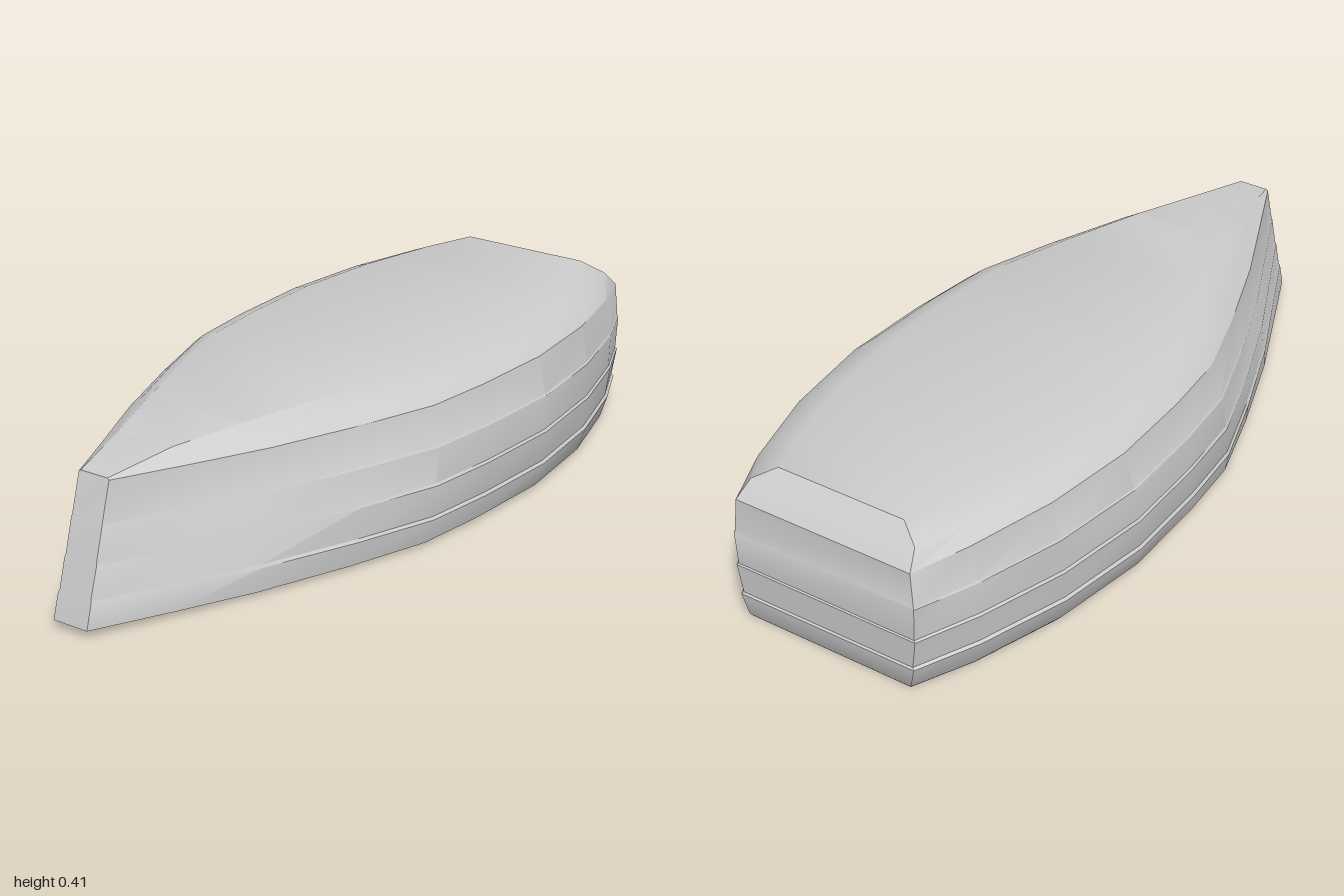
import * as THREE from 'three';
import { toCreasedNormals } from 'three/addons/utils/BufferGeometryUtils.js';

// Stations from bow to stern: position, fullness, pull towards the bow / stern height
const STATIONS = [
  [-1, 0, 1, 0], [-0.8, 0.24, 0.45, 0], [-0.6, 0.48, 0.15, 0], [-0.35, 0.73, 0, 0],
  [-0.13, 0.92, 0, 0], [0.07, 0.975, 0, 0], [0.33, 1, 0, 0], [0.6, 0.8, 0, 0.1],
  [0.84, 0.4, 0, 0.4], [1, 0, 0, 1],
];

// Plank edges from gunwale to keel; close pairs are the overlapping laps
const row = (mid, stern, bow, y, yStern, yBow, bowX, sternX = 1, power = 1) =>
  ({ mid, stern, bow, y, yStern, yBow, bowX, sternX, power });
const OUTER = [
  row(0.405, 0.235, 0.046, 0, 0, 0.004, -0.94, 0.99),
  row(0.418, 0.238, 0.05, 0.01, 0.005, 0.02, -1, 0.993),
  row(0.437, 0.253, 0.05, 0.071, 0.062, 0.083, -0.982),
  row(0.431, 0.248, 0.047, 0.078, 0.067, 0.09, -0.979, 0.996),
  row(0.436, 0.26, 0.048, 0.156, 0.145, 0.165, -0.957),
  row(0.431, 0.256, 0.046, 0.162, 0.149, 0.17, -0.955, 0.997),
  row(0.427, 0.26, 0.046, 0.25, 0.238, 0.256, -0.931),
  row(0.423, 0.258, 0.045, 0.254, 0.242, 0.26, -0.929, 0.998),
  row(0.4, 0.25, 0.045, 0.35, 0.333, 0.358, -0.901, 0.995),
  row(0.36, 0.235, 0.042, 0.382, 0.375, 0.36, -0.9, 0.955, 1.15),
  row(0.3, 0.18, 0.04, 0.407, 0.407, 0.362, -0.9, 0.92, 1.3),
];

// Inner skin follows the planks at the wall thickness
const INNER = OUTER.map((r) => ({
  ...r,
  mid: r.mid - 0.03, stern: r.stern - 0.025, bow: r.bow - 0.022,
  y: r.y * 0.93, yStern: r.yStern * 0.93, yBow: r.yBow * 0.93,
  bowX: Math.max(r.bowX, -0.98) + 0.045, sternX: r.sternX - 0.03,
}));
INNER.splice(1, 1);

// Closed waterline loop: bow to stern on the +z side, back on the -z side
function waterline(r) {
  const side = STATIONS.map(([s, g, b, t], i) => {
    const end = i <= 6 ? r.bow : r.stern;
    const fullness = i <= 6 ? Math.pow(g, r.power) : g;
    return new THREE.Vector3(
      THREE.MathUtils.lerp(r.bowX, r.sternX, (s + 1) / 2),
      r.y + (r.yBow - r.y) * b + (r.yStern - r.y) * t,
      end + (r.mid - end) * fullness,
    );
  });
  const mirror = side.map((p) => new THREE.Vector3(p.x, p.y, -p.z)).reverse();
  return [...side, ...mirror];
}

function hullGeometry() {
  const loops = [...INNER.reverse(), ...OUTER].map(waterline);
  const n = loops[0].length;
  const positions = [];
  const quad = (a, b, c, d) => [a, b, c, a, c, d].forEach((p) => positions.push(p.x, p.y, p.z));

  // Inner skin, rim and outer planking as one continuous wall
  for (let j = 0; j < loops.length - 1; j++) {
    for (let i = 0; i < n; i++) {
      const k = (i + 1) % n;
      quad(loops[j][i], loops[j][k], loops[j + 1][k], loops[j + 1][i]);
    }
  }
  // Flat bottom of the boat, outside and inside
  const top = loops[loops.length - 1];
  const ceiling = loops[0];
  for (let i = 0; i < n / 2 - 1; i++) {
    quad(top[i], top[i + 1], top[n - 2 - i], top[n - 1 - i]);
    quad(ceiling[i], ceiling[n - 1 - i], ceiling[n - 2 - i], ceiling[i + 1]);
  }
  const geometry = new THREE.BufferGeometry();
  geometry.setAttribute('position', new THREE.Float32BufferAttribute(positions, 3));
  geometry.computeVertexNormals();
  return toCreasedNormals(geometry, 0.55);
}

export function createModel() {
  const group = new THREE.Group();
  group.name = 'overturnedBoat';
  const hull = new THREE.Mesh(hullGeometry(), new THREE.MeshStandardMaterial({ color: 0xcccccc }));
  hull.name = 'plankedHull';
  group.add(hull);
  return group;
}
